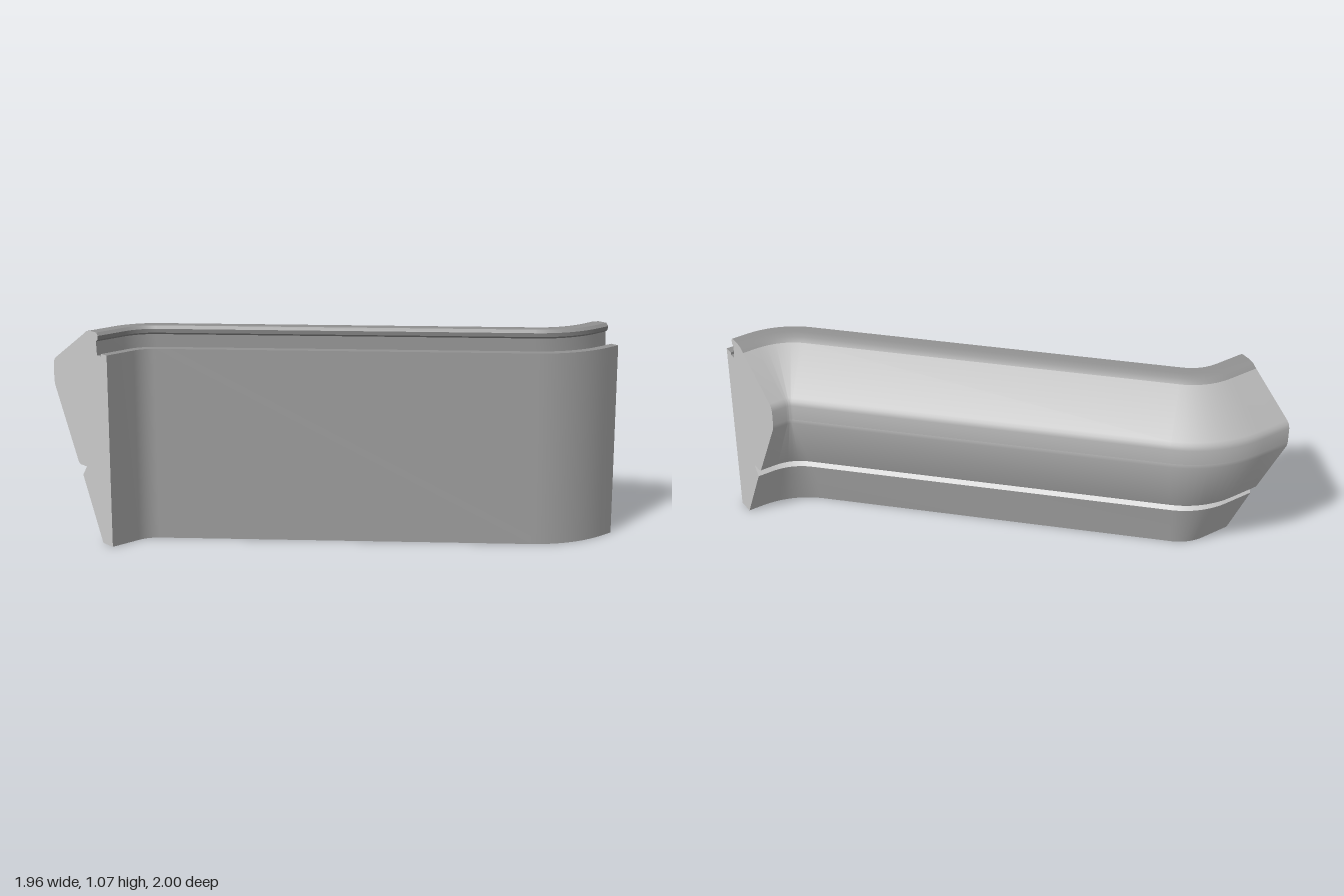
import * as THREE from 'three';
import { toCreasedNormals } from 'three/addons/utils/BufferGeometryUtils.js';

// Cross-section parts, joined end to end: [distance back from the flat wall, height]
const SECTIONS = [
  { name: 'flatWall', color: 0x9f9f9f, points: [[0, 0], [0, 0.97]] },
  // ledge, groove, lip and crest
  { name: 'topTrim', color: 0x929292, points: [
    [0, 0.97], [0.045, 0.97], [0.045, 0.957], [0.08, 0.957],
    [0.085, 1.025], [0.072, 1.035], [0.068, 1.055], [0.08, 1.07],
    [0.13, 1.07], [0.165, 1.063], [0.19, 1.045]] },
  // upper slope down to the rounded nose
  { name: 'upperSlope', color: 0xb4b4b4, points: [
    [0.19, 1.045], [0.44, 0.885], [0.453, 0.872], [0.46, 0.85], [0.46, 0.77]] },
  // lower slope, slot and foot
  { name: 'underside', color: 0xfafafa, points: [
    [0.46, 0.77], [0.456, 0.745], [0.275, 0.39], [0.267, 0.377], [0.25, 0.37],
    [0.2, 0.37], [0.235, 0.32], [0.08, 0], [0, 0]] },
];

// Plan path of the flat wall: straight, bend right, diagonal, bend back, straight.
// Each station is {x, z, lx, lz}, with (lx, lz) pointing into the section.
function makePath() {
  const stations = [{ x: -0.52, z: 1, lx: -1, lz: 0 }];
  const arc = (cx, cz, r, side, from, to, steps) => {
    for (let i = 0; i <= steps; i++) {
      const a = from + ((to - from) * i) / steps;
      const lx = -Math.cos(a), lz = -Math.sin(a);
      stations.push({ x: cx - side * r * lx, z: cz - side * r * lz, lx, lz });
    }
  };
  arc(-0.38, 0.84, 0.14, -1, 0, Math.PI / 4, 10);
  arc(0.48, -0.922, 0.5, 1, Math.PI / 4, 0, 10);
  stations.push({ x: 0.98, z: -1, lx: -1, lz: 0 });
  return stations;
}

const place = (s, [d, y]) => [s.x + s.lx * d, y, s.z + s.lz * d];

function makeGeometry(corners) {
  const geometry = new THREE.BufferGeometry();
  geometry.setAttribute('position', new THREE.Float32BufferAttribute(corners.flat(), 3));
  return toCreasedNormals(geometry, Math.PI / 6);
}

// Skin of one cross-section part along the path
function sweep(points, path) {
  const corners = [];
  for (let i = 0; i < path.length - 1; i++) {
    for (let j = 0; j < points.length - 1; j++) {
      const a = place(path[i], points[j]), b = place(path[i], points[j + 1]);
      const c = place(path[i + 1], points[j + 1]), d = place(path[i + 1], points[j]);
      corners.push(a, d, b, b, d, c);
    }
  }
  return makeGeometry(corners);
}

// Flat end closing the whole cross-section
function endCap(station, reversed) {
  const outline = SECTIONS.flatMap(({ points }) => points.slice(0, -1));
  const flat = outline.map(([d, y]) => new THREE.Vector2(-d, y));
  const corners = THREE.ShapeUtils.triangulateShape(flat, []).flatMap((face) => {
    const triangle = face.map((k) => place(station, outline[k]));
    return reversed ? triangle.reverse() : triangle;
  });
  return makeGeometry(corners);
}

export function createModel() {
  const group = new THREE.Group();
  group.name = 'bentPanel';
  const add = (name, geometry, color) => {
    const mesh = new THREE.Mesh(geometry, new THREE.MeshStandardMaterial({ color }));
    mesh.name = name;
    group.add(mesh);
  };
  const path = makePath();
  for (const { name, color, points } of SECTIONS) add(name, sweep(points, path), color);
  add('frontEnd', endCap(path[0], false), 0xcccccc);
  add('backEnd', endCap(path[path.length - 1], true), 0xcccccc);
  return group;
}
